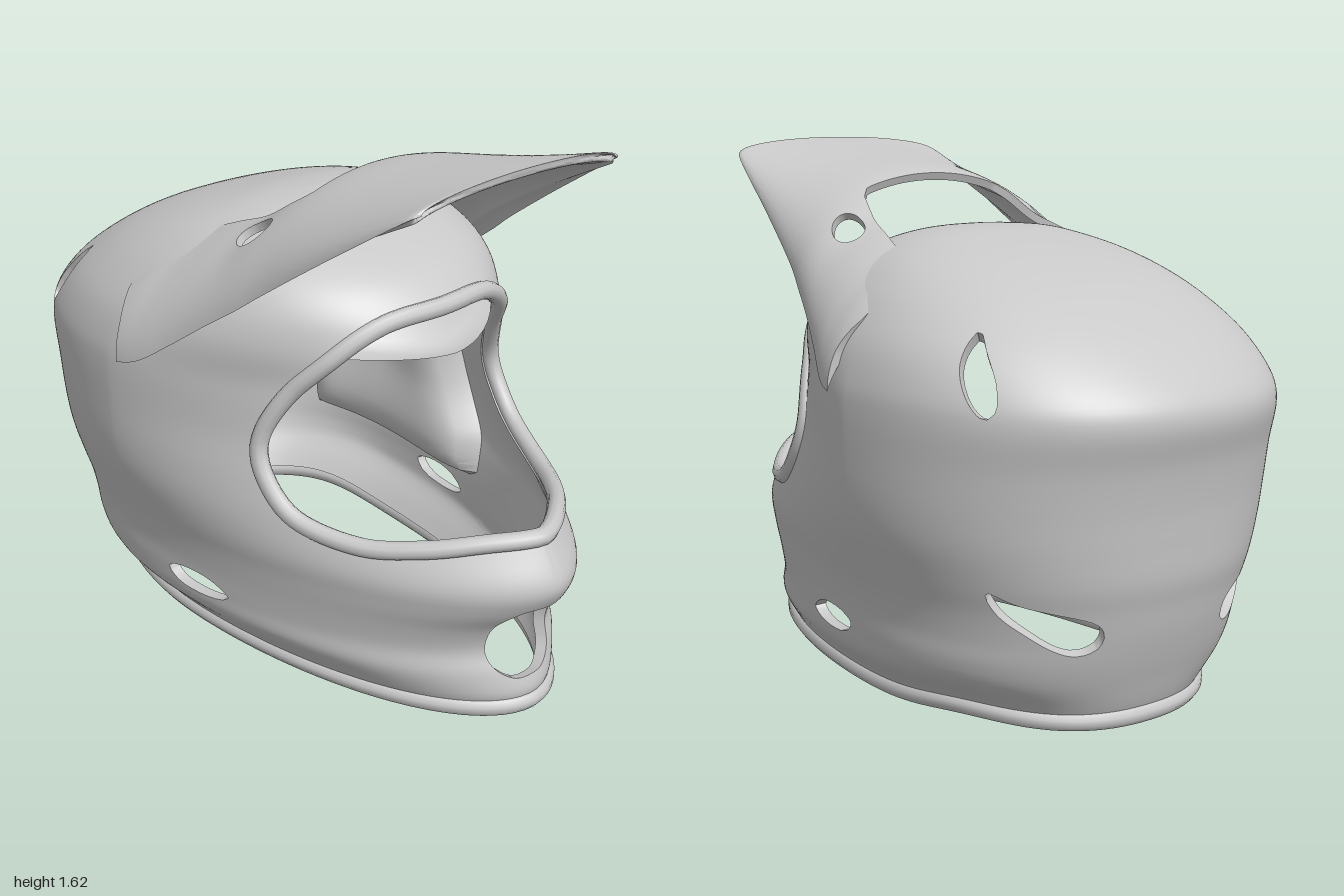
import * as THREE from 'three';
import { toCreasedNormals } from 'three/addons/utils/BufferGeometryUtils.js';

const grey = new THREE.MeshStandardMaterial({ color: 0xc8c8c8, side: THREE.DoubleSide });
grey.name = 'light grey';

// Horizontal sections: y, half width, front z, back z, widest z, front roundness
const SECTIONS = [
  [0.035, 0.45, 0.91, -0.79, -0.2, 1.9], [0.08, 0.485, 0.92, -0.81, -0.2, 1.9],
  [0.15, 0.545, 0.9, -0.835, -0.22, 1.9], [0.22, 0.56, 0.875, -0.86, -0.25, 1.9],
  [0.3, 0.565, 0.9, -0.885, -0.25, 1.9], [0.38, 0.58, 0.965, -0.905, -0.25, 1.8],
  [0.46, 0.605, 0.995, -0.925, -0.25, 1.7], [0.56, 0.635, 0.945, -0.935, -0.25, 1.55],
  [0.66, 0.65, 0.88, -0.945, -0.25, 1.45], [0.78, 0.655, 0.79, -0.965, -0.25, 1.4],
  [0.9, 0.655, 0.7, -0.995, -0.25, 1.45], [0.98, 0.645, 0.64, -0.965, -0.25, 1.55],
  [1.08, 0.61, 0.56, -0.86, -0.24, 1.85], [1.17, 0.55, 0.49, -0.73, -0.2, 2.1],
  [1.24, 0.485, 0.41, -0.6, -0.15, 2.2], [1.3, 0.405, 0.29, -0.44, -0.1, 2.2],
  [1.345, 0.3, 0.17, -0.28, -0.07, 2.2], [1.372, 0.18, 0.06, -0.16, -0.06, 2.2],
  [1.382, 0, -0.05, -0.05, -0.05, 2.2],
];

// Visor sections: z, centre y, outer x, outer y
const VISOR = [
  [0.78, 1.63, 0.37, 1.585], [0.74, 1.623, 0.405, 1.56], [0.5, 1.58, 0.45, 1.4], [0.3, 1.545, 0.49, 1.26],
  [0.2, 1.51, 0.52, 1.185], [0.1, 1.45, 0.555, 1.115], [0, 1.42, 0.595, 1.04], [-0.1, 1.385, 0.64, 0.97],
  [-0.18, 1.36, 0.665, 0.945], [-0.28, 1.31, 0.68, 0.93],
];

// Smooth interpolation down a table of rows, t in 0..1
function row(table, t) {
  const n = table.length - 1, f = Math.min(Math.max(t, 0), 1) * n;
  const i = Math.min(Math.floor(f), n - 1), k = f - i;
  const [a, b, c, d] = [-1, 0, 1, 2].map((o) => table[Math.min(Math.max(i + o, 0), n)]);
  return b.map((p, j) => p + 0.5 * k * (c[j] - a[j]
    + k * (2 * a[j] - 5 * p + 4 * c[j] - d[j] + k * (3 * (p - c[j]) + d[j] - a[j]))));
}

function levelAt(y) {
  let lo = 0, hi = 1;
  for (let i = 0; i < 30; i++) {
    const m = (lo + hi) / 2;
    if (row(SECTIONS, m)[0] < y) lo = m; else hi = m;
  }
  return lo;
}

const spow = (x, p) => Math.sign(x) * Math.pow(Math.abs(x), p);

// Helmet surface: a is the angle from the front, v runs from neck to crown
function helmetPoint(a, v) {
  const [y, w, zf, zb, zc, e] = row(SECTIONS, v);
  const s = Math.sin(a), c = Math.cos(a), p = 2 / (c > 0 ? e : 2.3);
  const z = zc + (c > 0 ? zf - zc : zc - zb) * spow(c, p);
  const lift = 0.03 * Math.exp(-(((z + 0.5) / 0.22) ** 2)) * Math.max(0, 1 - y / 0.3);
  return new THREE.Vector3(Math.max(w, 0) * spow(s, p), y + lift, z);
}

function normalAt(surface, u, v) {
  const h = 0.002, m = Math.min(v, 0.98);
  const du = surface(u + h, m).sub(surface(u - h, m));
  const dv = surface(u, Math.min(m + h, 1)).sub(surface(u, Math.max(m - h, 0)));
  return du.cross(dv).normalize();
}

// Smooth closed outline; mirrored outlines list only the +x half
function outline(half, mirrored) {
  const pts = mirrored ? [...half, ...half.filter((p) => p[0] > 0).reverse().map(([x, y]) => [-x, y])] : half;
  return new THREE.CatmullRomCurve3(pts.map(([x, y]) => new THREE.Vector3(x, y, 0)), true).getPoints(64);
}

// Signed distance to an outline, negative inside
function distance(poly, x, y) {
  let best = Infinity, inside = false;
  for (let i = 0, j = poly.length - 1; i < poly.length; j = i++) {
    const a = poly[i], b = poly[j], ex = b.x - a.x, ey = b.y - a.y, l = ex * ex + ey * ey;
    if (l === 0) continue;
    const t = Math.min(Math.max(((x - a.x) * ex + (y - a.y) * ey) / l, 0), 1);
    best = Math.min(best, Math.hypot(x - a.x - ex * t, y - a.y - ey * t));
    if ((a.y > y) !== (b.y > y) && x < a.x + (ex * (y - a.y)) / ey) inside = !inside;
  }
  return inside ? -best : best;
}

// Grid surface cut where keep() < 0, with an inner skin and walls round the cuts
function shell(name, surface, [u0, u1, nu], nv, { keep = () => 1, thick = null }) {
  const grid = [], out = [];
  for (let j = 0; j <= nv; j++) {
    for (let i = 0; i <= nu; i++) {
      const u = u0 + ((u1 - u0) * i) / nu, v = j / nv, p = surface(u, v);
      const q = thick ? p.clone().addScaledVector(normalAt(surface, u, v), -thick(u, v)) : p;
      grid.push({ p, q, f: keep(p) });
    }
  }
  const tri = (...pts) => pts.forEach((p) => out.push(p.x, p.y, p.z));
  const cut = (a, b) => {
    const t = a.f / (a.f - b.f);
    return { p: a.p.clone().lerp(b.p, t), q: a.q.clone().lerp(b.q, t), edge: true };
  };
  const addTriangle = (t) => {
    const poly = [];
    t.forEach((a, k) => {
      const b = t[(k + 1) % 3];
      if (a.f >= 0) poly.push(a);
      if ((a.f >= 0) !== (b.f >= 0)) poly.push(a.f >= 0 ? cut(a, b) : cut(b, a));
    });
    for (let k = 1; k + 1 < poly.length; k++) {
      tri(poly[0].p, poly[k].p, poly[k + 1].p);
      if (thick) tri(poly[0].q, poly[k + 1].q, poly[k].q);
    }
    if (thick) poly.forEach((a, k) => {
      const b = poly[(k + 1) % poly.length];
      if (a.edge && b.edge) { tri(b.p, a.p, a.q); tri(b.p, a.q, b.q); }
    });
  };
  for (let j = 0; j < nv; j++) {
    for (let i = 0; i < nu; i++) {
      const k = j * (nu + 1) + i, a = grid[k], b = grid[k + 1], c = grid[k + nu + 2], d = grid[k + nu + 1];
      addTriangle([a, b, c]);
      addTriangle([a, c, d]);
    }
  }
  const geo = new THREE.BufferGeometry();
  geo.setAttribute('position', new THREE.Float32BufferAttribute(out, 3));
  return named(name, toCreasedNormals(geo, 0.8));
}

function named(name, geo) {
  const mesh = new THREE.Mesh(geo, grey);
  mesh.name = name;
  return mesh;
}

function bead(name, points, radius) {
  return named(name, new THREE.TubeGeometry(new THREE.CatmullRomCurve3(points, true), 140, radius, 10, true));
}

// Soft pad swelling inward from the inside of the shell
function pad(name, a0, a1, y0, y1, depth) {
  const v0 = levelAt(y0), v1 = levelAt(y1), soft = (s) => Math.sqrt(Math.max(0, 1 - (2 * s - 1) ** 6));
  const surface = (s, t) => {
    const a = a1 + (a0 - a1) * s, v = v0 + (v1 - v0) * t;
    return helmetPoint(a, v).addScaledVector(normalAt(helmetPoint, a, v), -0.03 - depth * soft(s) * soft(t));
  };
  return shell(name, surface, [0, 1, 28], 24, {});
}

export function createModel() {
  const model = new THREE.Group();
  model.name = 'helmet';

  // Openings: the first two as seen from the front, the others from the side (z, y)
  const eye = outline([[0, 1.155], [0.2, 1.14], [0.32, 1.07], [0.42, 0.93], [0.472, 0.79], [0.48, 0.67],
    [0.455, 0.58], [0.38, 0.545], [0.27, 0.56], [0.14, 0.585], [0, 0.59]], true);
  const chin = outline([[0, 0.385], [0.09, 0.38], [0.125, 0.34], [0.13, 0.26], [0.115, 0.17], [0.06, 0.125], [0, 0.12]], true);
  const sideVents = [
    [[0.14, 0.22], [0.08, 0.255], [0, 0.265], [-0.08, 0.255], [-0.12, 0.235], [-0.08, 0.2], [0, 0.19], [0.1, 0.2]],
    [[-0.68, 0.45], [-0.74, 0.42], [-0.855, 0.36], [-0.84, 0.28], [-0.81, 0.265], [-0.74, 0.33], [-0.69, 0.39]],
    [[-0.6, 1.14], [-0.65, 1.1], [-0.73, 1.01], [-0.75, 0.95], [-0.73, 0.93], [-0.69, 0.96], [-0.62, 1.06]],
  ].map((p) => outline(p, false));
  const keep = ({ x, y, z }) => Math.min(
    ...(z > 0 ? [eye, chin].map((o) => distance(o, x, y)) : [1]),
    ...(Math.abs(x) > 0.08 ? sideVents.map((o) => distance(o, z, y)) : [1]));
  model.add(shell('outerShell', helmetPoint, [-Math.PI, Math.PI, 200], 90, { keep, thick: () => 0.035 }));

  // Rolled trim round the eye opening and the neck
  const frontPoint = (x, y) => {
    const [, w, zf, , zc, e] = row(SECTIONS, levelAt(y));
    return new THREE.Vector3(x, y, zc + (zf - zc) * Math.pow(1 - Math.pow(Math.abs(x) / w, e), 1 / e) - 0.008);
  };
  model.add(bead('eyeTrim', eye.slice(0, -1).map((p) => frontPoint(p.x, p.y)), 0.028));
  const neck = Array.from({ length: 60 }, (_, i) => helmetPoint((i / 60) * Math.PI * 2, 0));
  model.add(bead('neckTrim', neck, 0.028));

  // Padding
  for (const side of [1, -1]) {
    const [a, b] = [1.13 * side, 2.1 * side].sort((p, q) => p - q);
    model.add(pad(side > 0 ? 'leftCheekPad' : 'rightCheekPad', a, b, 0.3, 1.0, 0.14));
  }
  model.add(pad('browPad', -1.2, 1.2, 1.05, 1.35, 0.07));
  model.add(pad('rearPad', 2.55, 3.73, 0.48, 0.98, 0.06));

  // Visor: arched peak with two arms, cut away over the crown, one vent in each arm
  const visorPoint = (s, t) => {
    const [z, yc, xo, yo] = row(VISOR, t), a = (s * Math.PI) / 2;
    return new THREE.Vector3(xo * Math.sin(a), yo + (yc - yo) * Math.cos(a), z);
  };
  const crownGap = [[0.25, 0.23], [0.28, 0.2], [0.31, 0.1], [0.37, -0.15], [0.41, -0.225], [0.5, -0.24],
    [0.58, -0.225], [0.64, -0.19], [0.72, -0.165], [0.72, -0.4]];
  const gap = [...crownGap, ...crownGap.map(([x, z]) => [-x, z]).reverse()].map(([x, y]) => ({ x, y }));
  const visorKeep = ({ x, z }) => Math.min(distance(gap, x, z),
    0.045 * (Math.hypot((Math.abs(x) - 0.385) / 0.045, (z - 0.13) / 0.06) - 1));
  const visorThick = (s, t) => 0.025 * Math.min(1, (1 - Math.abs(s)) * 8, t * 12);
  model.add(shell('visor', visorPoint, [-1, 1, 110], 80, { keep: visorKeep, thick: visorThick }));

  return model;
}
